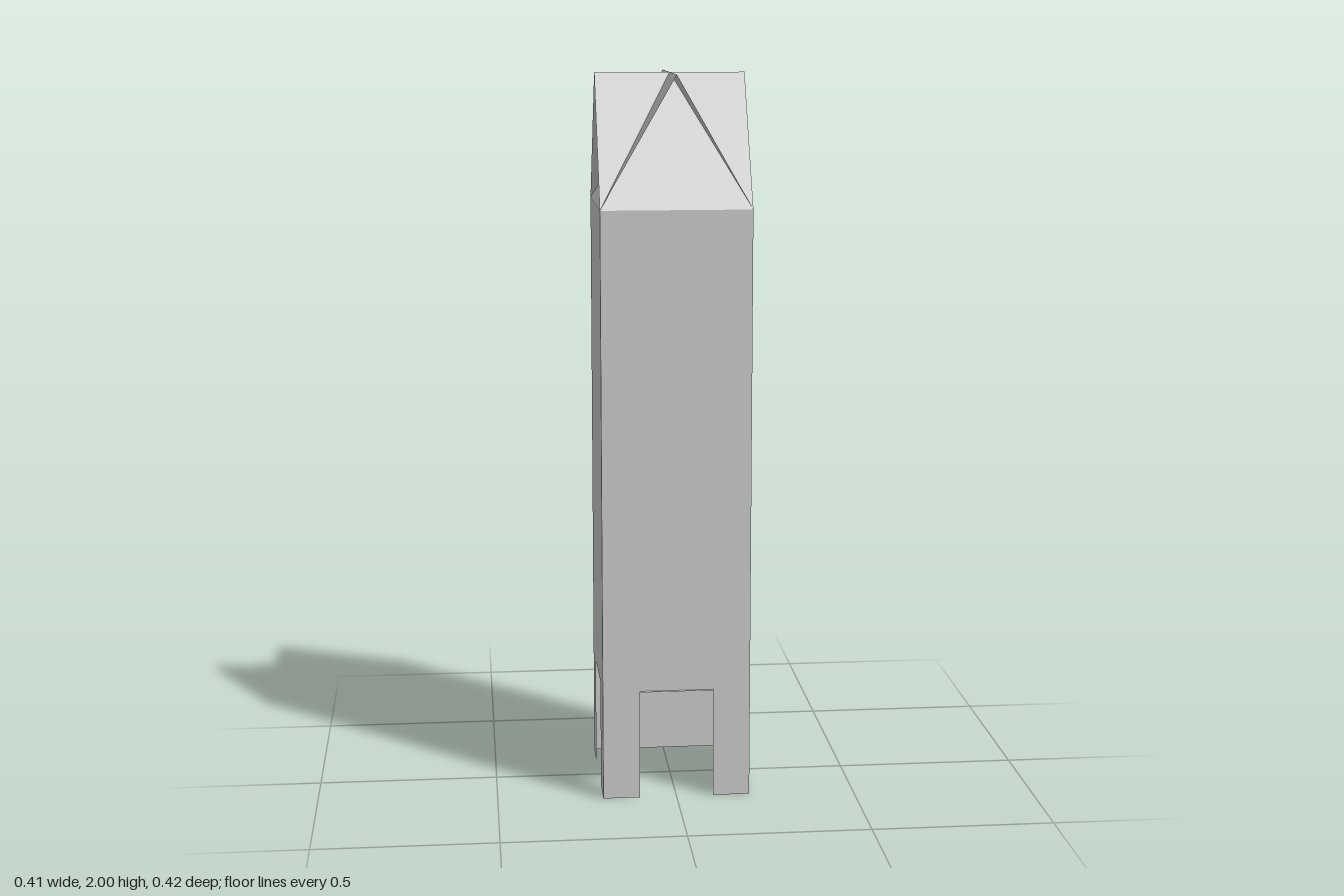
import * as THREE from 'three';

const HALF = 0.2054;     // half width of the square tower
const EAVE = 1.644;      // top of the walls
const RISE = 2 - EAVE;   // height of the roof
const DOOR_HALF = HALF / 2;
const DOOR_TOP = 0.31;
const LEDGE = 0.0105;

export function createModel() {
  const stone = new THREE.MeshStandardMaterial({ color: 0xcccccc, side: THREE.DoubleSide, flatShading: true });
  stone.name = 'light grey';

  const model = new THREE.Group();
  model.name = 'tower';
  const shell = new THREE.Group();
  shell.name = 'shell';
  shell.position.z = -LEDGE / 2;
  model.add(shell);

  const add = (name, geometry, turn = 0) => {
    const mesh = new THREE.Mesh(geometry, stone);
    mesh.name = name;
    mesh.rotation.y = turn;
    shell.add(mesh);
  };

  // Wall outline, optionally notched by a doorway
  const wall = (hasDoor) => {
    const points = [[-HALF, 0]];
    if (hasDoor) {
      points.push([-DOOR_HALF, 0], [-DOOR_HALF, DOOR_TOP], [DOOR_HALF, DOOR_TOP], [DOOR_HALF, 0]);
    }
    points.push([HALF, 0], [HALF, EAVE], [-HALF, EAVE]);
    const shape = new THREE.Shape(points.map(([x, y]) => new THREE.Vector2(x, y)));
    return new THREE.ShapeGeometry(shape).translate(0, 0, HALF);
  };

  // Full-width sheet leaning in from the eave to the centre line; the four cross each other
  const roofSheet = () =>
    new THREE.PlaneGeometry(2 * HALF, Math.hypot(RISE, HALF))
      .rotateX(-Math.atan2(HALF, RISE))
      .translate(0, EAVE + RISE / 2, HALF / 2);

  const sides = [
    ['front', 0, true],
    ['left', Math.PI / 2, false],
    ['back', Math.PI, false],
    ['right', -Math.PI / 2, true],
  ];
  for (const [side, turn, hasDoor] of sides) {
    add(`${side}Wall`, wall(hasDoor), turn);
    add(`${side}RoofSheet`, roofSheet(), turn);
  }

  // Thin flat ledge over the front doorway
  add('doorLedge', new THREE.PlaneGeometry(2 * DOOR_HALF, LEDGE)
    .rotateX(-Math.PI / 2)
    .translate(0, DOOR_TOP, HALF + LEDGE / 2));

  return model;
}
